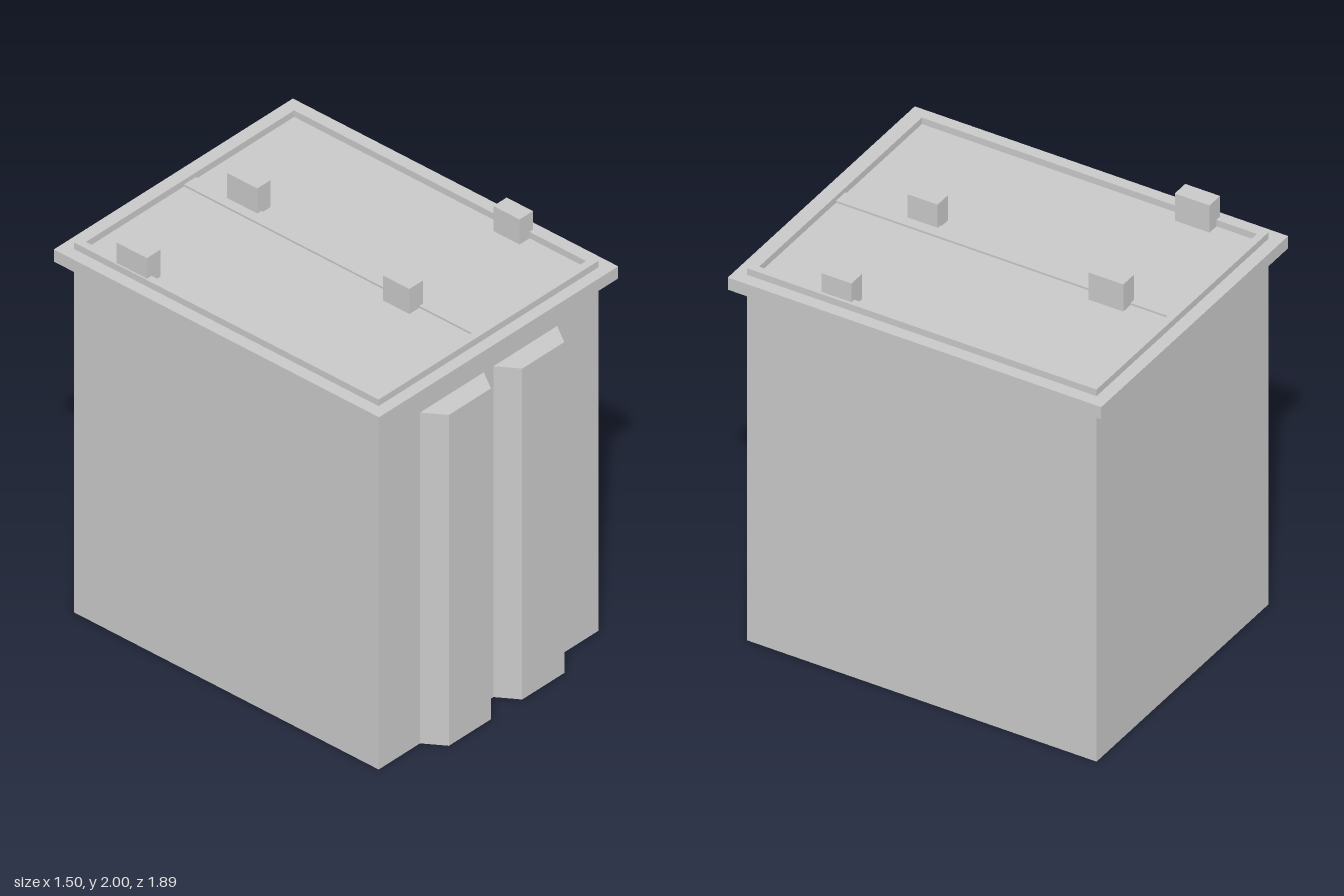
import * as THREE from 'three';

// Keep only the side faces (and optionally the top) so that a part is an open shell
function shell(geometry, keepTop) {
  const g = geometry.index ? geometry.toNonIndexed() : geometry;
  const p = g.attributes.position, n = g.attributes.normal, pos = [], nor = [];
  for (let i = 0; i < p.count; i++) {
    const ny = n.getY(i);
    if (ny < -0.9 || (ny > 0.9 && !keepTop)) continue;
    pos.push(p.getX(i), p.getY(i), p.getZ(i));
    nor.push(n.getX(i), ny, n.getZ(i));
  }
  const out = new THREE.BufferGeometry();
  out.setAttribute('position', new THREE.Float32BufferAttribute(pos, 3));
  out.setAttribute('normal', new THREE.Float32BufferAttribute(nor, 3));
  return out;
}

// Box given by its limits
function box(x0, x1, y0, y1, z0, z1) {
  return new THREE.BoxGeometry(x1 - x0, y1 - y0, z1 - z0)
    .translate((x0 + x1) / 2, (y0 + y1) / 2, (z0 + z1) / 2);
}

// Plan outline (x, z) raised from y0 to y1
function raise(shape, y0, y1) {
  return new THREE.ExtrudeGeometry(shape, { depth: y1 - y0, bevelEnabled: false })
    .rotateX(-Math.PI / 2).translate(0, y0, 0);
}
const outline = (points) => points.map(([x, z]) => new THREE.Vector2(x, -z));
const rect = (x0, x1, z0, z1) => outline([[x0, z1], [x1, z1], [x1, z0], [x0, z0]]);

export function createModel() {
  const group = new THREE.Group();
  const grey = new THREE.MeshStandardMaterial({ color: 0xc8c8c8, side: THREE.DoubleSide });
  grey.name = 'light grey';
  const add = (name, geometry) => {
    const mesh = new THREE.Mesh(geometry, grey);
    mesh.name = name;
    group.add(mesh);
  };

  // Four walls, open underneath
  add('body', shell(box(-0.69, 0.69, 0, 1.8, -0.885, 0.843), false));

  // Overhanging rim, whose top is the floor of the recess
  add('rim', box(-0.75, 0.75, 1.8, 1.862, -0.945, 0.9));

  // Raised lip around the top and the low bar dividing it
  const lip = new THREE.Shape(rect(-0.69, 0.69, -0.885, 0.843));
  lip.holes.push(new THREE.Path(rect(-0.653, 0.653, -0.85, 0.805)));
  add('lip', raise(lip, 1.862, 1.895));
  add('divider', box(-0.038, 0.036, 1.862, 1.872, -0.85, 0.805));

  // Chamfered pilasters on the front
  for (const x of [-0.23, 0.23]) {
    const plan = new THREE.Shape(outline([
      [x - 0.2, 0.843], [x - 0.132, 0.945], [x + 0.132, 0.945], [x + 0.2, 0.843],
    ]));
    add(x < 0 ? 'rightPilaster' : 'leftPilaster', shell(raise(plan, 0, 1.695), true));
  }

  // Blocks on top: taller at the back, lower at the front
  for (const x of [-0.64, 0.052]) add('backBlock', box(x - 0.042, x + 0.042, 1.862, 2, -0.65, -0.478));
  for (const x of [-0.058, 0.633]) add('frontBlock', box(x - 0.042, x + 0.042, 1.862, 1.99, 0.335, 0.484));

  return group;
}
